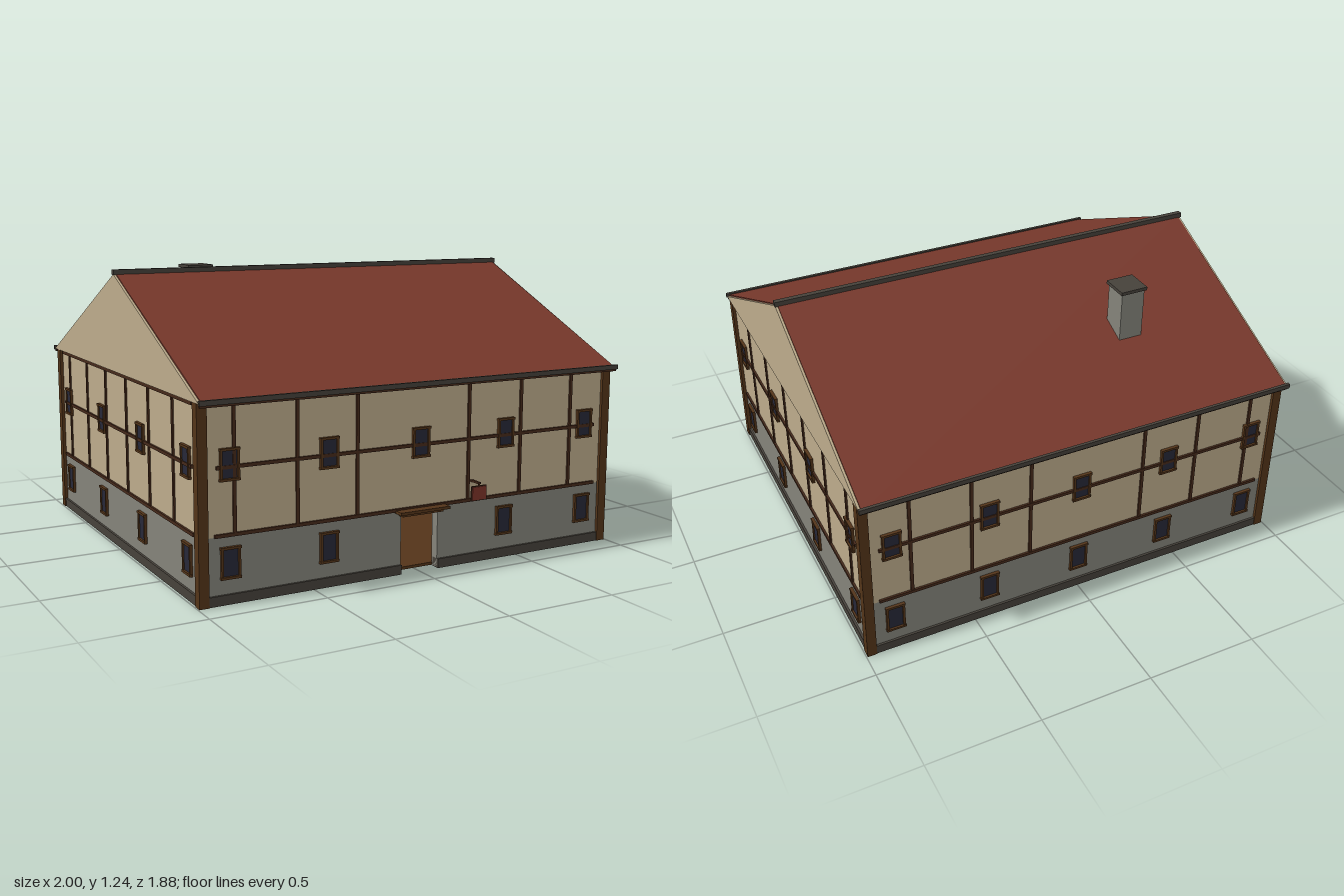
import * as THREE from 'three';

const mat = (name, color) => {
  const m = new THREE.MeshStandardMaterial({ color });
  m.name = name;
  return m;
};

export function createModel() {
  const house = new THREE.Group();
  house.name = 'house';
  const plaster = mat('plaster', 0xbcab8b);
  const stone = mat('stone', 0x84837a);
  const timber = mat('timber', 0x533419);
  const beamWood = mat('darkBeam', 0x45291a);
  const slate = mat('darkTrim', 0x46413a);
  const tile = mat('roofTile', 0x77382b);
  const glass = mat('glass', 0x262838);
  const signRed = mat('signRed', 0x7c3328);

  const add = (parent, name, geometry, material) => {
    const mesh = new THREE.Mesh(geometry, material);
    mesh.name = name;
    parent.add(mesh);
    return mesh;
  };
  // Box given by its minimum and maximum corners
  const box = (parent, name, material, x0, x1, y0, y1, z0, z1) => {
    const mesh = add(parent, name, new THREE.BoxGeometry(x1 - x0, y1 - y0, z1 - z0), material);
    mesh.position.set((x0 + x1) / 2, (y0 + y1) / 2, (z0 + z1) / 2);
    return mesh;
  };
  // Profile in the z-y plane, extruded along x and centred
  const alongX = (name, material, points, length) => {
    const shape = new THREE.Shape(points.map(([z, y]) => new THREE.Vector2(z, y)));
    const g = new THREE.ExtrudeGeometry(shape, { depth: length, bevelEnabled: false });
    g.translate(0, 0, -length / 2).rotateY(Math.PI / 2);
    return add(house, name, g, material);
  };

  // Framed window on a wall whose outer face is at z = d
  const addWindow = (wall, u, y, d) => {
    const w = new THREE.Group();
    w.name = 'window';
    w.position.set(u, y, d);
    wall.add(w);
    box(w, 'windowPane', glass, -0.033, 0.033, -0.053, 0.053, 0, 0.006);
    for (const s of [-1, 1]) {
      const jamb = box(w, 'windowJamb', timber, -0.005, 0.005, -0.06, 0.06, 0, 0.012);
      jamb.position.x = s * 0.036;
      const rail = box(w, 'windowRail', timber, -0.043, 0.043, -0.005, 0.005, 0, 0.014);
      rail.position.y = s * 0.059;
    }
  };

  // One wall, built facing +z and then turned into place
  const addWall = ({ name, angle, half, d, posts, upper, lower, door }) => {
    const wall = new THREE.Group();
    wall.name = name;
    wall.rotation.y = angle;
    house.add(wall);
    const spans = door ? [[-half, -0.09], [0.09, half]] : [[-half, half]];
    for (const [a, b] of spans) {
      box(wall, 'stoneWall', stone, a, b, 0, 0.25, d - 0.04, d);
      box(wall, 'plinth', slate, a, b, 0, 0.04, d - 0.03, d + 0.01);
    }
    box(wall, 'stoneTop', stone, -half, half, 0.25, 0.27, d - 0.04, d);
    box(wall, 'plasterWall', plaster, -half, half, 0.27, 0.8, d - 0.04, d);
    for (const y of [0.275, 0.54, 0.785]) {
      const reach = half - (y === 0.54 ? 0.05 : 0.04);
      box(wall, 'horizontalTimber', beamWood, -reach, reach, y - 0.007, y + 0.007, d - 0.01, d + 0.009);
    }
    for (const u of posts) {
      box(wall, 'verticalTimber', beamWood, u - 0.007, u + 0.007, 0.275, 0.785, d - 0.01, d + 0.007);
    }
    upper.forEach((u) => addWindow(wall, u, 0.55, d));
    lower.forEach((u) => addWindow(wall, u, 0.165, d));
    return wall;
  };

  const five = [-0.86, -0.43, 0, 0.43, 0.86];
  const four = [-0.755, -0.255, 0.25, 0.75];
  const longPosts = [-0.84, -0.57, -0.3, 0.24, 0.51, 0.78];
  const sidePosts = [-0.62, -0.35, -0.08, 0.19, 0.46, 0.73];
  const flip = (list) => list.map((u) => -u);

  const front = addWall({
    name: 'frontWall', angle: 0, half: 0.965, d: 0.88, posts: longPosts,
    upper: five, lower: five.filter((u) => u !== 0), door: true,
  });
  addWall({
    name: 'backWall', angle: Math.PI, half: 0.965, d: 0.88, posts: flip(longPosts),
    upper: five, lower: five,
  });
  addWall({
    name: 'leftWall', angle: Math.PI / 2, half: 0.865, d: 0.98, posts: sidePosts,
    upper: four, lower: four,
  });
  addWall({
    name: 'rightWall', angle: -Math.PI / 2, half: 0.865, d: 0.98, posts: flip(sidePosts),
    upper: flip(four), lower: flip(four),
  });

  // Corner posts
  for (const sx of [-1, 1]) {
    for (const sz of [-1, 1]) {
      const post = box(house, 'cornerPost', timber, -0.021, 0.021, 0, 0.8, -0.021, 0.021);
      post.position.x = sx * 0.974;
      post.position.z = sz * 0.872;
    }
  }

  // Floor seen through the open doorway
  box(house, 'floor', timber, -0.945, 0.945, 0.003, 0.015, -0.845, 0.845);

  // Doorway hood
  box(front, 'doorLintel', timber, -0.1, 0.1, 0.25, 0.263, 0.87, 0.91);
  box(front, 'doorHood', timber, -0.12, 0.12, 0.263, 0.275, 0.87, 0.93);

  // Hanging sign on its bracket
  box(front, 'signBracket', beamWood, 0.254, 0.266, 0.354, 0.362, 0.88, 0.94);
  box(front, 'signHanger', beamWood, 0.257, 0.263, 0.345, 0.356, 0.931, 0.937);
  box(front, 'signFrame', beamWood, 0.222, 0.3, 0.283, 0.347, 0.93, 0.935);
  box(front, 'signBoard', signRed, 0.226, 0.296, 0.287, 0.343, 0.929, 0.939);

  // Attic with plain gables, and the tiled roof skin above it
  alongX('gables', plaster, [[-0.925, 0.795], [0.925, 0.795], [0, 1.217]], 1.994);
  alongX('roof', tile,
    [[-0.93, 0.794], [0, 1.214], [0.93, 0.794], [0.93, 0.8], [0, 1.222], [-0.93, 0.8]], 1.974);
  box(house, 'ridgeBeam', slate, -1, 1, 1.215, 1.237, -0.012, 0.012);
  for (const s of [-1, 1]) {
    const eave = box(house, 'eaveBeam', slate, -1, 1, 0.79, 0.81, -0.007, 0.007);
    eave.position.z = s * 0.929;
    const edge = box(house, 'eaveBoard', beamWood, -0.995, 0.995, 0.781, 0.795, -0.006, 0.006);
    edge.position.z = s * 0.922;
  }

  // Chimney
  box(house, 'chimney', stone, -0.475, -0.365, 0.95, 1.207, -0.532, -0.422);
  box(house, 'chimneyCap', slate, -0.483, -0.357, 1.205, 1.22, -0.54, -0.414);

  return house;
}
